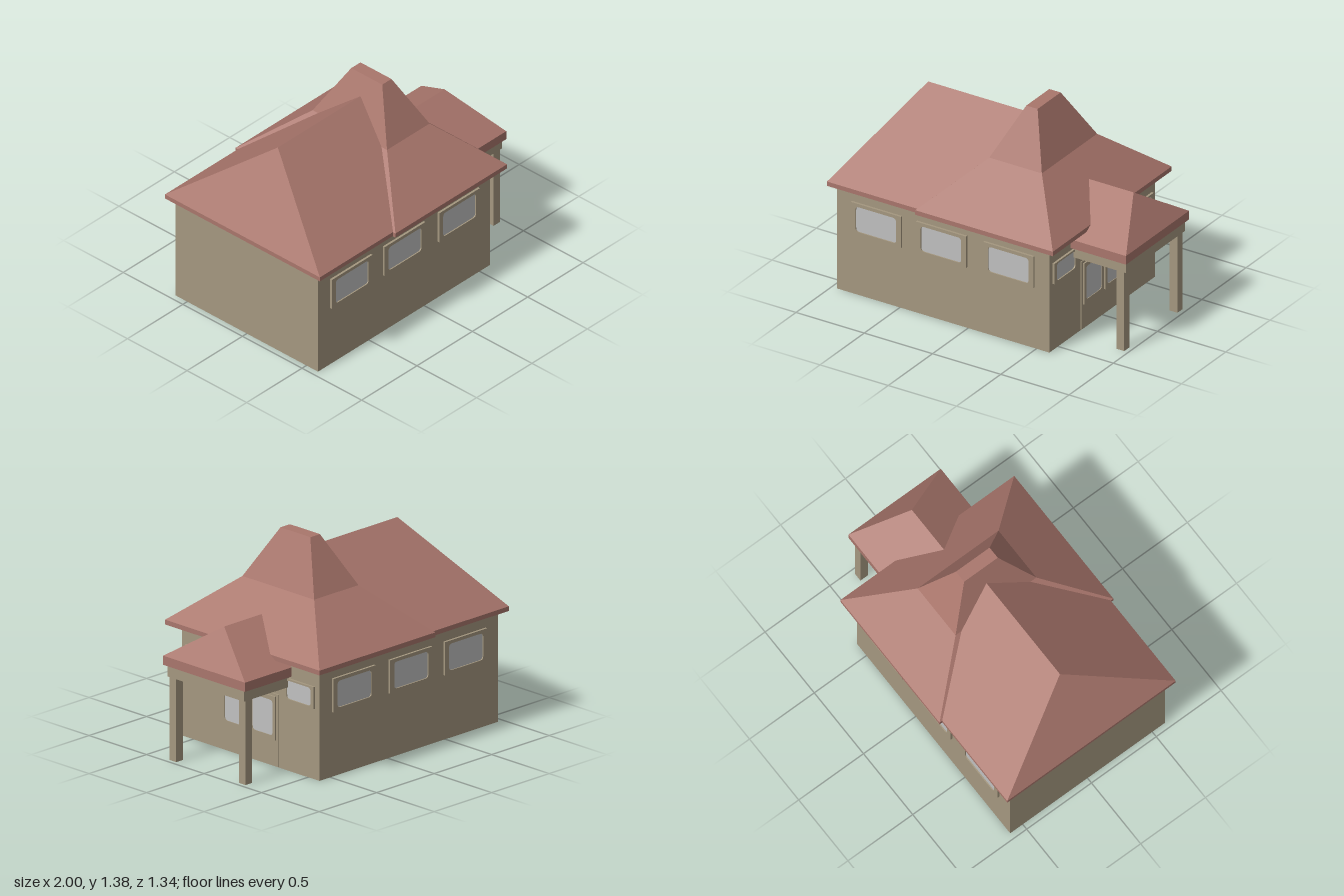
import * as THREE from 'three';

const wallMat = new THREE.MeshStandardMaterial({ color: 0xa4977f });
wallMat.name = 'wall tan';
const roofMat = new THREE.MeshStandardMaterial({ color: 0xa9766c });
roofMat.name = 'roof red';
const glassMat = new THREE.MeshStandardMaterial({ color: 0xc0c0c0 });
glassMat.name = 'window grey';

function add(parent, name, geometry, material) {
  const mesh = new THREE.Mesh(geometry, material);
  mesh.name = name;
  parent.add(mesh);
  return mesh;
}

// Box given by its limits on each axis
function box(parent, name, [x0, x1], [y0, y1], [z0, z1], material) {
  const mesh = add(parent, name, new THREE.BoxGeometry(x1 - x0, y1 - y0, z1 - z0), material);
  mesh.position.set((x0 + x1) / 2, (y0 + y1) / 2, (z0 + z1) / 2);
  return mesh;
}

// Roof lofted through rectangular levels [y, xMin, xMax, halfDepth], closed at both ends
function roof(parent, name, levels) {
  const rings = levels.map(([y, x0, x1, z]) =>
    [[x0, y, z], [x1, y, z], [x1, y, -z], [x0, y, -z]].map(p => new THREE.Vector3(...p)));
  const points = [];
  const tri = (a, b, c) => {
    if (new THREE.Triangle(a, b, c).getArea() > 1e-6) points.push(a, b, c);
  };
  const quad = (a, b, c, d) => { tri(a, b, c); tri(a, c, d); };
  for (let i = 0; i + 1 < rings.length; i++) {
    for (let k = 0; k < 4; k++) {
      const n = (k + 1) % 4;
      quad(rings[i][k], rings[i][n], rings[i + 1][n], rings[i + 1][k]);
    }
  }
  quad(...[...rings[0]].reverse());
  quad(...rings[rings.length - 1]);
  const geometry = new THREE.BufferGeometry().setFromPoints(points);
  geometry.computeVertexNormals();
  return add(parent, name, geometry, roofMat);
}

// Rectangle with rounded corners, centred on the origin
function roundedRect(path, w, h, r) {
  const x = w / 2, y = h / 2;
  path.moveTo(-x + r, -y);
  path.lineTo(x - r, -y);
  path.quadraticCurveTo(x, -y, x, -y + r);
  path.lineTo(x, y - r);
  path.quadraticCurveTo(x, y, x - r, y);
  path.lineTo(-x + r, y);
  path.quadraticCurveTo(-x, y, -x, y - r);
  path.lineTo(-x, -y + r);
  path.quadraticCurveTo(-x, -y, -x + r, -y);
  return path;
}

// Raised frame with a rounded opening and a recessed pane, facing +z
function makeWindow(name, w, h, glassW, glassH) {
  const group = new THREE.Group();
  group.name = name;
  const x = w / 2, y = h / 2;
  const shape = new THREE.Shape([[-x, -y], [x, -y], [x, y], [-x, y]].map(p => new THREE.Vector2(...p)));
  shape.holes.push(roundedRect(new THREE.Path(), glassW, glassH, 0.025));
  const frame = new THREE.ExtrudeGeometry(shape, { depth: 0.016, bevelEnabled: false, curveSegments: 5 });
  add(group, 'windowFrame', frame, wallMat);
  box(group, 'windowPane', [-glassW / 2 - 0.005, glassW / 2 + 0.005],
    [-glassH / 2 - 0.005, glassH / 2 + 0.005], [0.002, 0.008], glassMat);
  return group;
}

export function createModel() {
  const house = new THREE.Group();
  house.name = 'house';

  // Main building
  box(house, 'walls', [-0.96, 0.595], [0, 0.73], [-0.597, 0.597], wallMat);
  roof(house, 'mainRoof', [
    [0.725, -1, 0.16, 0.65],
    [0.755, -1, 0.16, 0.65],
    [1.255, -0.68, 0.16, 0],
  ]);
  roof(house, 'towerRoof', [
    [0.723, -0.34, 0.668, 0.671],
    [0.754, -0.34, 0.668, 0.671],
    [1.05, -0.03, 0.355, 0.312],
    [1.375, 0.123, 0.206, 0.13],
  ]);

  // Porch
  roof(house, 'porchRoof', [
    [0.62, 0.5, 1, 0.356],
    [0.68, 0.5, 1, 0.356],
    [0.915, 0.5, 0.825, 0],
  ]);
  box(house, 'porchBeam', [0.58, 0.986], [0.547, 0.621], [-0.333, 0.333], wallMat);

  // Door panel
  box(house, 'door', [0.59, 0.602], [0.005, 0.475], [-0.247, 0.247], wallMat);

  for (const s of [1, -1]) {
    box(house, 'porchPost', [0.913, 0.97], [0, 0.55],
      s > 0 ? [0.272, 0.33] : [-0.33, -0.272], wallMat);

    // Three windows along the front and back walls
    for (const x of [-0.667, -0.19, 0.303]) {
      const win = makeWindow('longWallWindow', 0.367, 0.218, 0.297, 0.174);
      win.position.set(x, 0.531, s * 0.596);
      if (s < 0) win.rotation.y = Math.PI;
      house.add(win);
    }

    // Windows beside the door
    const side = makeWindow('sideWindow', 0.26, 0.143, 0.21, 0.12);
    side.position.set(0.594, 0.533, s * 0.43);
    side.rotation.y = Math.PI / 2;
    house.add(side);

    // Panes in the double door
    const pane = makeWindow('doorWindow', 0.217, 0.285, 0.176, 0.23);
    pane.position.set(0.597, 0.317, s * 0.12);
    pane.rotation.y = Math.PI / 2;
    house.add(pane);
    pane.getObjectByName('windowPane').position.z = 0.009;
  }

  return house;
}
